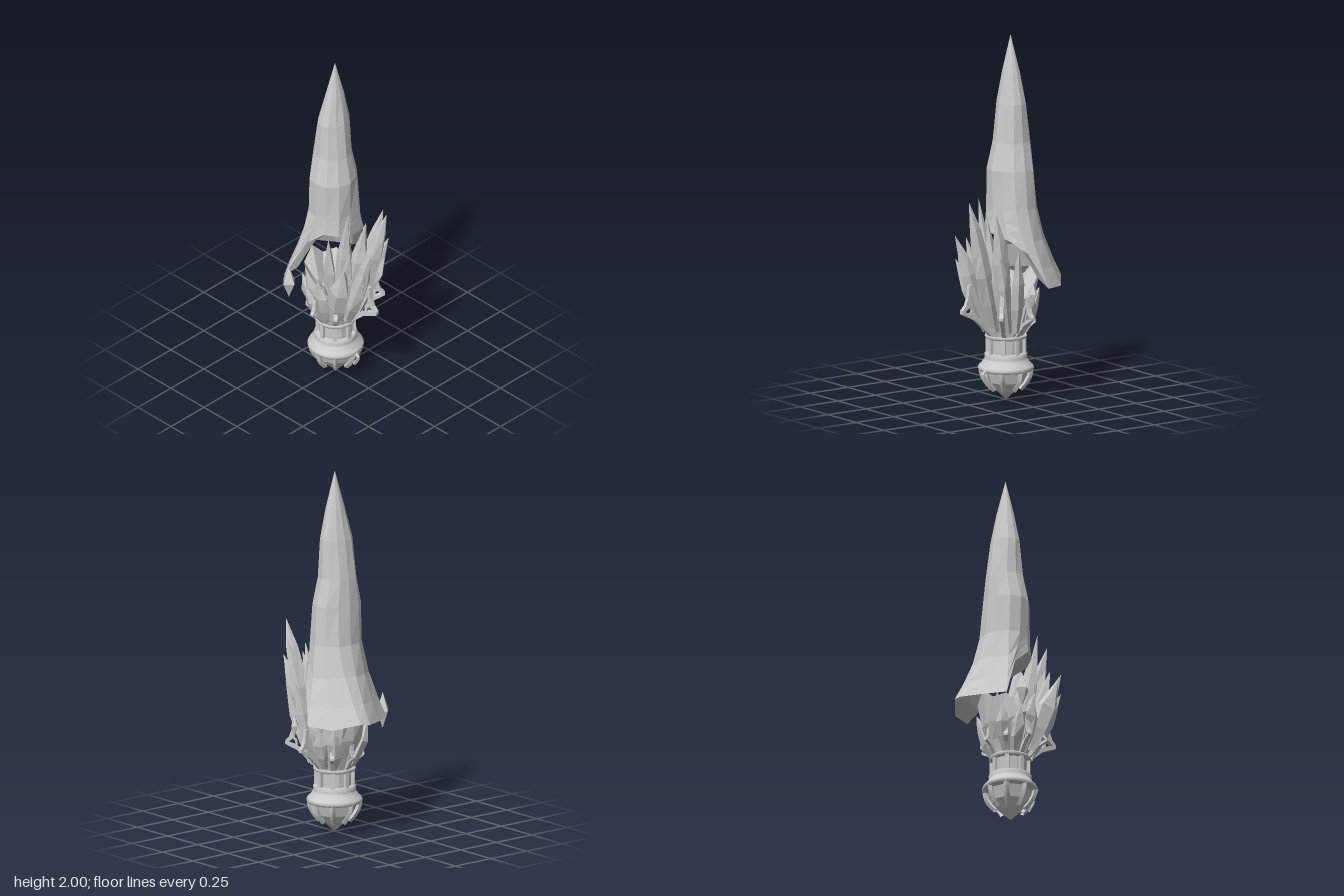
import * as THREE from 'three';

const V = (x, y, z) => new THREE.Vector3(x, y, z);
const stone = new THREE.MeshStandardMaterial({ color: 0xcccccc, flatShading: true, side: THREE.DoubleSide });
const metal = new THREE.MeshStandardMaterial({ color: 0xcccccc, side: THREE.DoubleSide });

let seed = 7;
const rand = () => (seed = (seed * 16807) % 2147483647) / 2147483647;
const jitter = (a) => 1 + (rand() - 0.5) * 2 * a;

// Skin closed rings of points, listed from bottom to top
function loft(rings) {
  const n = rings[0].length, pos = [], index = [];
  rings.forEach((r) => r.forEach((p) => pos.push(p.x, p.y, p.z)));
  for (let j = 0; j < rings.length - 1; j++) {
    for (let i = 0; i < n; i++) {
      const a = j * n + i, b = j * n + (i + 1) % n;
      index.push(a, a + n, b, b, a + n, b + n);
    }
  }
  const g = new THREE.BufferGeometry();
  g.setAttribute('position', new THREE.Float32BufferAttribute(pos, 3));
  g.setIndex(index);
  g.computeVertexNormals();
  return g;
}

function ring(n, y, rx, rz = rx, cx = 0, cz = 0, wobble = 0) {
  return Array.from({ length: n }, (_, i) => {
    const a = (i / n) * Math.PI * 2, k = jitter(wobble);
    return V(cx + Math.cos(a) * rx * k, y, cz + Math.sin(a) * rz * k);
  });
}

function add(parent, name, geometry, material) {
  const m = new THREE.Mesh(geometry, material);
  m.name = name;
  parent.add(m);
  return m;
}

// Faceted crystal running from a base point to a tip
function crystal(parent, name, base, tip, radius, sides = 5) {
  const dir = tip.clone().sub(base), len = dir.length();
  const g = loft([
    ring(sides, 0, radius * 0.5),
    ring(sides, len * 0.3, radius * 0.95, radius * 0.85, 0, 0, 0.15),
    ring(sides, len * 0.6, radius, radius * 0.8, 0, 0, 0.2),
    ring(sides, len * 0.8, radius * 0.55, radius * 0.5, 0, 0, 0.25),
    ring(sides, len, 0.001),
  ]);
  const m = add(parent, name, g, stone);
  m.position.copy(base);
  m.quaternion.setFromUnitVectors(V(0, 1, 0), dir.normalize());
}

// Tall spire with a thick, hollow hood that hangs down on one side
function spire(parent) {
  const rim = [
    [0.11, 0.93, 0], [0.09, 0.95, 0.07], [0.03, 0.96, 0.12], [-0.07, 0.87, 0.14],
    [-0.18, 0.63, 0.215], [-0.25, 0.64, 0.1], [-0.315, 0.65, -0.02], [-0.31, 0.66, -0.08],
    [-0.22, 0.63, -0.2], [-0.09, 0.64, -0.265], [0, 0.83, -0.2], [0.08, 0.9, -0.14],
  ].map((p) => V(...p));
  const n = rim.length;
  const shoulder = ring(n, 1.06, 0.128, 0.145, -0.027, -0.015, 0.04);
  const between = (t, bend) => rim.map((p, i) => {
    const s = shoulder[i], k = Math.pow(t, bend);
    return V(s.x + (p.x - s.x) * k, s.y + (p.y - s.y) * t, s.z + (p.z - s.z) * k);
  });
  const inner = (k, lift) => rim.map((p) => V(p.x * k, p.y + (0.92 - p.y) * lift, p.z * k));
  add(parent, 'spire', loft([
    ring(n, 0.93, 0.002), inner(0.55, 0.65), inner(0.72, 0.2), rim,
    between(0.75, 1.4), between(0.4, 1.4), shoulder,
    ring(n, 1.27, 0.12, 0.138, -0.022, -0.01, 0.05),
    ring(n, 1.42, 0.104, 0.104, -0.03, -0.01, 0.05),
    ring(n, 1.63, 0.076, 0.095, -0.026, -0.012, 0.05),
    ring(n, 1.8, 0.045, 0.055, -0.022, -0.015, 0.03),
    ring(n, 2, 0.001, 0.001, -0.02, -0.015),
  ]), stone);
}

// Pierced bracket standing in a radial plane; scale shrinks it toward the collar
function bracket(parent, deg, scale) {
  const at = (r, y) => new THREE.Vector2(0.1 + (r - 0.1) * scale, 0.35 + (y - 0.35) * (0.3 + 0.7 * scale));
  const pts = (list) => list.map(([r, y]) => at(r, y));
  const shape = new THREE.Shape(pts([
    [0.1, 0.35], [0.15, 0.4], [0.215, 0.46], [0.305, 0.505], [0.305, 0.525], [0.28, 0.55],
    [0.265, 0.59], [0.255, 0.66], [0.235, 0.66], [0.215, 0.58], [0.18, 0.5], [0.13, 0.44], [0.085, 0.38],
  ]));
  shape.holes.push(
    new THREE.Path(pts([[0.235, 0.5], [0.285, 0.515], [0.255, 0.54], [0.24, 0.525]])),
    new THREE.Path(pts([[0.185, 0.47], [0.22, 0.488], [0.225, 0.53], [0.243, 0.545], [0.243, 0.6], [0.22, 0.545]])),
  );
  const g = new THREE.ExtrudeGeometry(shape, { depth: 0.022, bevelEnabled: false });
  g.translate(0, 0, -0.011);
  add(parent, 'bracket', g, stone).rotation.y = THREE.MathUtils.degToRad(-deg);
}

export function createModel() {
  const model = new THREE.Group();
  spire(model);

  // Rock core rising from the neck; its wall climbs into the hood on the -x side
  const jag = ring(14, 0, 0.155, 0.16, 0, 0, 0.05);
  jag.forEach((p, i) => {
    const side = p.x / 0.155;
    p.y = 0.56 + (i % 2 ? 0.035 : -0.03) + (side < 0 ? -side * 0.14 : side * 0.06);
    p.x += side * 0.03;
  });
  add(model, 'rockCore', loft([
    ring(14, 0.24, 0.09), ring(14, 0.36, 0.095), ring(14, 0.44, 0.118, 0.122, 0, 0, 0.05),
    ring(14, 0.53, 0.148, 0.15, 0, 0, 0.06),
    jag, ring(14, 0.53, 0.09), ring(14, 0.51, 0.001),
  ]), stone);

  // Large crystals, most with a smaller companion: tip x, y, z, radius and companion's sideways shift
  const cluster = new THREE.Group();
  cluster.name = 'crystalCluster';
  model.add(cluster);
  [
    [0.305, 1.13, -0.08, 0.055, -0.04], [0.145, 1.11, 0.05, 0.045, 0], [0.19, 1.06, -0.17, 0.05, 0.04],
    [0.31, 0.93, 0.04, 0.05, 0.03], [0.21, 0.83, 0.15, 0.055, -0.04], [0.075, 0.86, -0.22, 0.042, 0],
    [0.07, 0.95, 0.125, 0.035, 0], [0.17, 1.02, -0.06, 0.05, 0], [0.2, 0.9, 0.09, 0.042, 0],
    [0.18, 0.83, -0.19, 0.045, 0],
  ].forEach(([x, y, z, r, shift]) => {
    const base = V(x * 0.36, 0.39, z * 0.55);
    crystal(cluster, 'crystal', base, V(x, y, z), r);
    if (shift) {
      crystal(cluster, 'companionCrystal', base, V(x * 0.92, 0.39 + (y - 0.39) * 0.75, z + shift), r * 0.85);
    }
  });

  // Short crystals on the flanks of the core: angle and tip height
  [[78, 0.7], [108, 0.6], [140, 0.62], [222, 0.62], [252, 0.61], [284, 0.7]].forEach(([deg, top]) => {
    const a = deg * Math.PI / 180, c = Math.cos(a), s = Math.sin(a);
    crystal(cluster, 'shortCrystal', V(c * 0.09, 0.37, s * 0.09), V(c * 0.18, top, s * 0.18), 0.042);
  });

  // Two floating gems
  [[-0.105, 0.65, 0.25, 0.042, 0.1], [0.016, 0.625, -0.268, 0.024, 0.065]].forEach(([x, y, z, r, h]) => {
    const gem = add(model, 'floatingGem', new THREE.OctahedronGeometry(1, 0), stone);
    gem.scale.set(r, h, r);
    gem.position.set(x, y, z);
  });

  // Turned metal base ring and upper collar
  const lathe = (name, profile) => add(model, name,
    new THREE.LatheGeometry(profile.map(([r, y]) => new THREE.Vector2(r, y)), 32), metal);
  lathe('baseRing', [[0.1, 0.165], [0.145, 0.165], [0.152, 0.178], [0.146, 0.19], [0.13, 0.205],
    [0.118, 0.225], [0.113, 0.235], [0.116, 0.255], [0.105, 0.26], [0.08, 0.26]]);
  lathe('collar', [[0.095, 0.338], [0.108, 0.34], [0.115, 0.351], [0.111, 0.36], [0.095, 0.358], [0.095, 0.338]]);

  // Pointed gem beneath the ring, held by curved claws
  add(model, 'bottomGem', loft([
    ring(8, 0, 0.001), ring(8, 0.05, 0.055), ring(8, 0.1, 0.098), ring(8, 0.17, 0.12),
  ]), stone);
  const claw = new THREE.TubeGeometry(new THREE.CatmullRomCurve3([
    V(0.136, 0.175, 0), V(0.127, 0.13, 0), V(0.108, 0.095, 0), V(0.078, 0.06, 0),
  ]), 8, 0.015, 4);
  const post = new THREE.BoxGeometry(0.018, 0.11, 0.022);
  for (let i = 0; i < 8; i++) {
    const a = i * Math.PI / 4;
    add(model, 'claw', claw, stone).rotation.y = a;
    const p = add(model, 'neckPost', post, stone);
    p.position.set(Math.cos(a) * 0.1, 0.3, -Math.sin(a) * 0.1);
    p.rotation.y = a;
  }
  // Hook on the lower side
  const hook = new THREE.TubeGeometry(new THREE.CatmullRomCurve3([
    V(0.13, 0.18, -0.01), V(0.162, 0.16, -0.01), V(0.15, 0.125, -0.01), V(0.13, 0.095, -0.01),
  ]), 8, 0.01, 4);
  add(model, 'hook', hook, stone);

  // Brackets: angle and scale
  [[-2, 1], [-90, 0.7], [-48, 0.8], [90, 0.4], [180, 0.3], [45, 0.5], [-135, 0.3], [135, 0.3]]
    .forEach(([deg, s]) => bracket(model, deg, s));
  return model;
}
